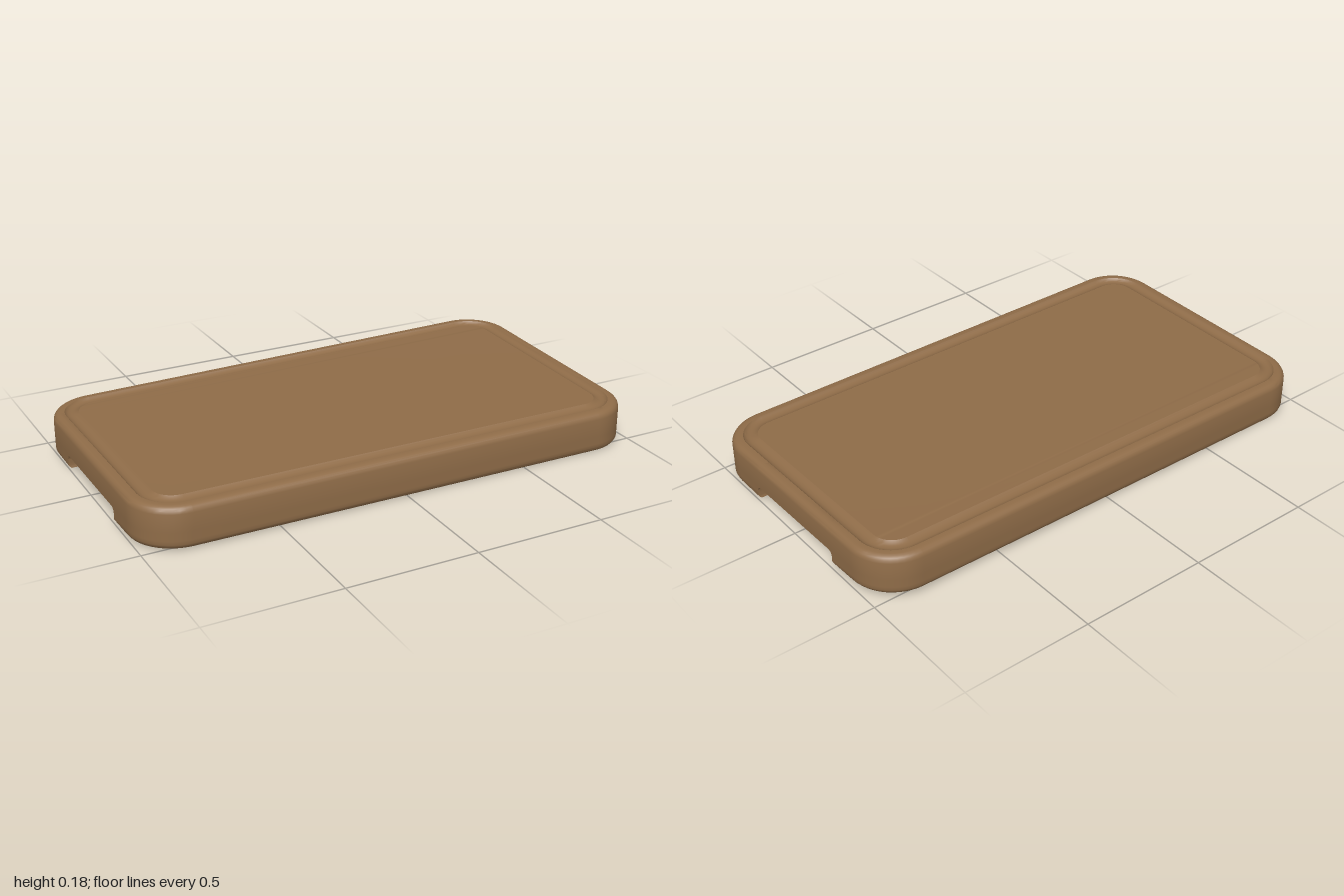
import * as THREE from 'three';
import { toCreasedNormals } from 'three/addons/utils/BufferGeometryUtils.js';

const X = 1, Z = 0.545, R = 0.175;            // half length, half width, corner radius
const NOTCH_Z = 0.247, NOTCH_H = 0.054, NOTCH_R = 0.02, NOTCH_D = 0.09;

// slight twist of the old board, bilinear over its four corners
function warp(x, z) {
  const u = (x + 1) / 2, v = (z / Z + 1) / 2;
  return u * (1 - v) * 0.03 + u * v * 0.003 + (1 - u) * v * 0.012;
}

// stations along the right half of the outline, from front to back
function makeStations() {
  const out = [], corner = [];
  for (let i = 0; i <= 12; i++) corner.push(i / 12 * Math.PI / 2);
  corner.forEach(a => out.push({ sx: Math.sin(a), sz: Math.cos(a), side: 1 }));
  const low = NOTCH_H - NOTCH_R;
  out.push({ z: NOTCH_Z, h: low });
  for (let i = 0; i <= 5; i++) {
    const a = i / 5 * Math.PI / 2;
    out.push({ z: NOTCH_Z - NOTCH_R * (1 - Math.cos(a)), h: low + NOTCH_R * Math.sin(a), notch: true });
  }
  out.push({ z: 0, h: NOTCH_H, notch: true });
  for (let i = 5; i >= 0; i--) {
    const a = i / 5 * Math.PI / 2;
    out.push({ z: -NOTCH_Z + NOTCH_R * (1 - Math.cos(a)), h: low + NOTCH_R * Math.sin(a), notch: true });
  }
  out.push({ z: -NOTCH_Z, h: low });
  corner.reverse().forEach(a => out.push({ sx: Math.sin(a), sz: -Math.cos(a), side: -1 }));
  return out;
}

// point of a station at a given inset from the outer edge
function place(s, inset, y) {
  if (s.z !== undefined) return [X - inset, y, s.z * (1 - inset / Z)];
  const r = R - inset;
  return [X - R + r * s.sx, y, s.side * (Z - R) + r * s.sz];
}

function boardGeometry() {
  const stations = makeStations();
  const halves = [];

  // lower rings: finger notches at the ends, small rounded foot elsewhere
  const lower = [[1, 0, 0.01], [1, 0.15, 0.003], [1, 0.3, 0], [0.93, 0.55, 0],
    [0.75, 0.8, 0], [0.5, 0.94, 0], [0.25, 0.99, 0], [0, 1, 0]];
  for (const [depth, t, foot] of lower) {
    halves.push(stations.map(s => {
      const p = place(s, s.notch ? 0 : foot, t * (s.h ?? NOTCH_H));
      if (s.notch) p[0] -= NOTCH_D * depth;
      return p;
    }));
  }

  // upper rings: wall, rounded rim, juice groove, top panel
  const upper = [[0, 0.06], [0, 0.13], [0.003, 0.14], [0.008, 0.147], [0.015, 0.152], [0.025, 0.155],
    [0.042, 0.155], [0.047, 0.149], [0.055, 0.145], [0.066, 0.143], [0.078, 0.145],
    [0.088, 0.149], [0.096, 0.155]];
  for (const [inset, y] of upper) halves.push(stations.map(s => place(s, inset, y)));

  const pos = [];
  const ab = new THREE.Vector3(), ac = new THREE.Vector3();
  const tri = (a, b, c) => {
    ab.set(b[0] - a[0], b[1] - a[1], b[2] - a[2]);
    ac.set(c[0] - a[0], c[1] - a[1], c[2] - a[2]);
    if (ab.cross(ac).length() < 1e-9) return;
    for (const p of [a, b, c]) pos.push(p[0], p[1] + warp(p[0], p[2]), p[2]);
  };
  const quad = (a, b, c, d) => { tri(a, b, c); tri(a, c, d); };
  const mirror = p => [-p[0], p[1], p[2]];

  // skin between the rings
  const rings = halves.map(h => [...h, ...h.map(mirror).reverse()]);
  for (let k = 0; k < rings.length - 1; k++) {
    const lo = rings[k], hi = rings[k + 1], n = lo.length;
    for (let i = 0; i < n; i++) {
      const j = (i + 1) % n;
      quad(lo[i], lo[j], hi[j], hi[i]);
    }
  }

  // top panel and underside, in strips from end to end
  const top = halves[halves.length - 1], bottom = halves[0];
  for (let i = 0; i < top.length - 1; i++) {
    quad(mirror(top[i]), top[i], top[i + 1], mirror(top[i + 1]));
    quad(bottom[i], mirror(bottom[i]), mirror(bottom[i + 1]), bottom[i + 1]);
  }

  const g = new THREE.BufferGeometry();
  g.setAttribute('position', new THREE.Float32BufferAttribute(pos, 3));
  return toCreasedNormals(g, 0.6);
}

export function createModel() {
  const wood = new THREE.MeshStandardMaterial({ color: 0x8f6c48 });
  wood.name = 'brown wood';
  const board = new THREE.Mesh(boardGeometry(), wood);
  board.name = 'cuttingBoard';
  const group = new THREE.Group();
  group.name = 'choppingBoard';
  group.add(board);
  return group;
}
